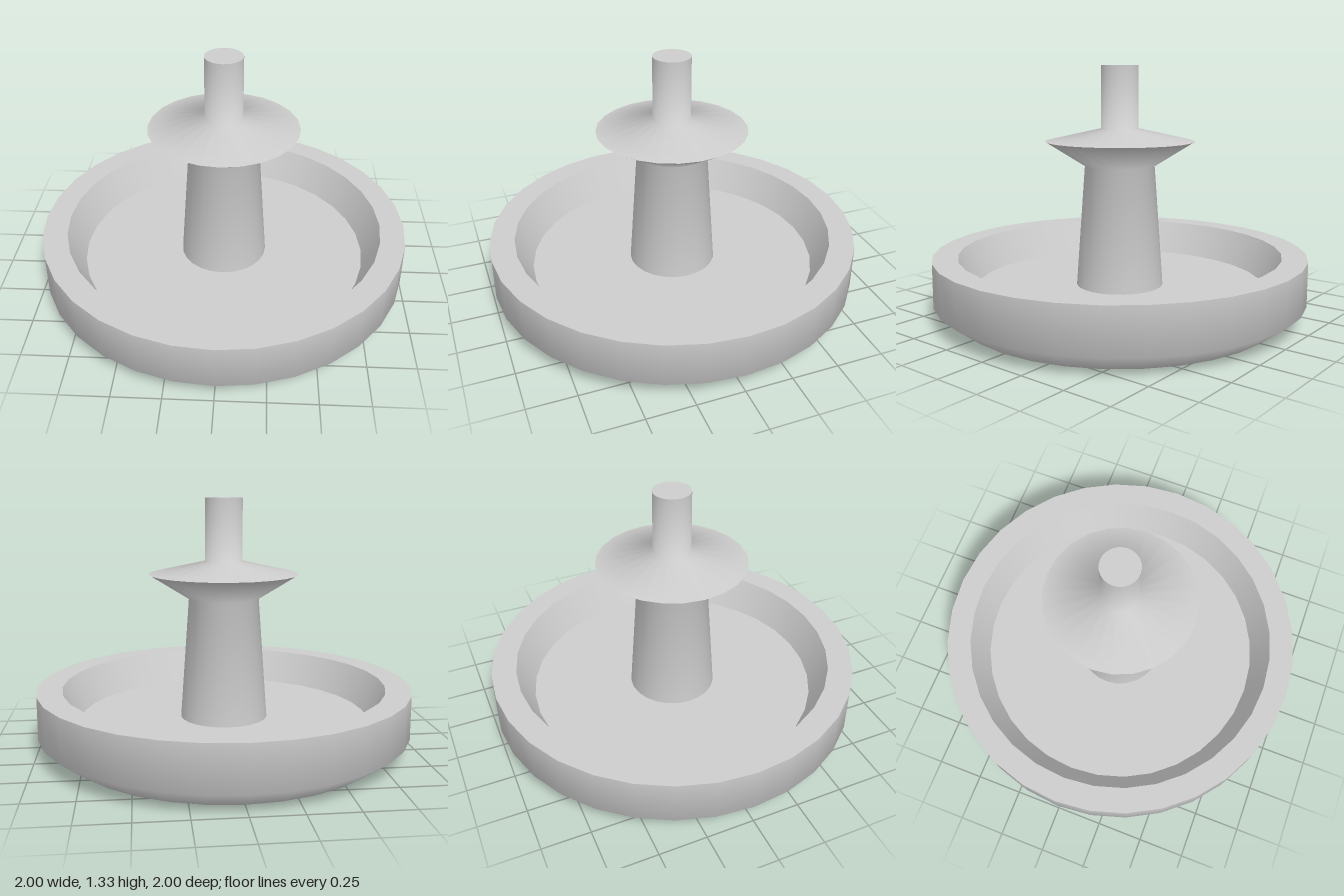
import * as THREE from 'three';

export function createModel() {
  const group = new THREE.Group();
  const grey = new THREE.MeshStandardMaterial({ color: 0xcccccc });
  grey.name = 'plain grey';

  // Each lathe is one smooth surface; separate lathes meet at sharp edges.
  const turn = (name, sides, profile) => {
    const points = profile.map(([r, y]) => new THREE.Vector2(r, y));
    const mesh = new THREE.Mesh(new THREE.LatheGeometry(points, sides), grey);
    mesh.name = name;
    group.add(mesh);
  };

  const floor = 0.153, rim = 0.333;

  // Shallow round dish, profile running from the underside over the rim to the floor
  turn('dishUnderside', 32, [[0, 0], [0.867, 0]]);
  turn('dishOuterWall', 32, [[0.867, 0], [1, 0.1], [1, rim]]);
  turn('dishRim', 32, [[1, rim], [0.867, rim]]);
  turn('dishInnerWall', 32, [[0.867, rim], [0.78, floor]]);
  turn('dishFloor', 32, [[0.78, floor], [0, floor]]);

  // Tapered column flaring into a sharp-edged collar, with a pin on top
  turn('columnAndCollarUnderside', 24, [[0.235, floor], [0.188, 0.8], [0.4, 0.933]]);
  turn('collarTopAndPin', 24, [[0.4, 0.933], [0.1, 1], [0.1, 1.333]]);
  turn('pinCap', 24, [[0.1, 1.333], [0, 1.333]]);

  return group;
}
